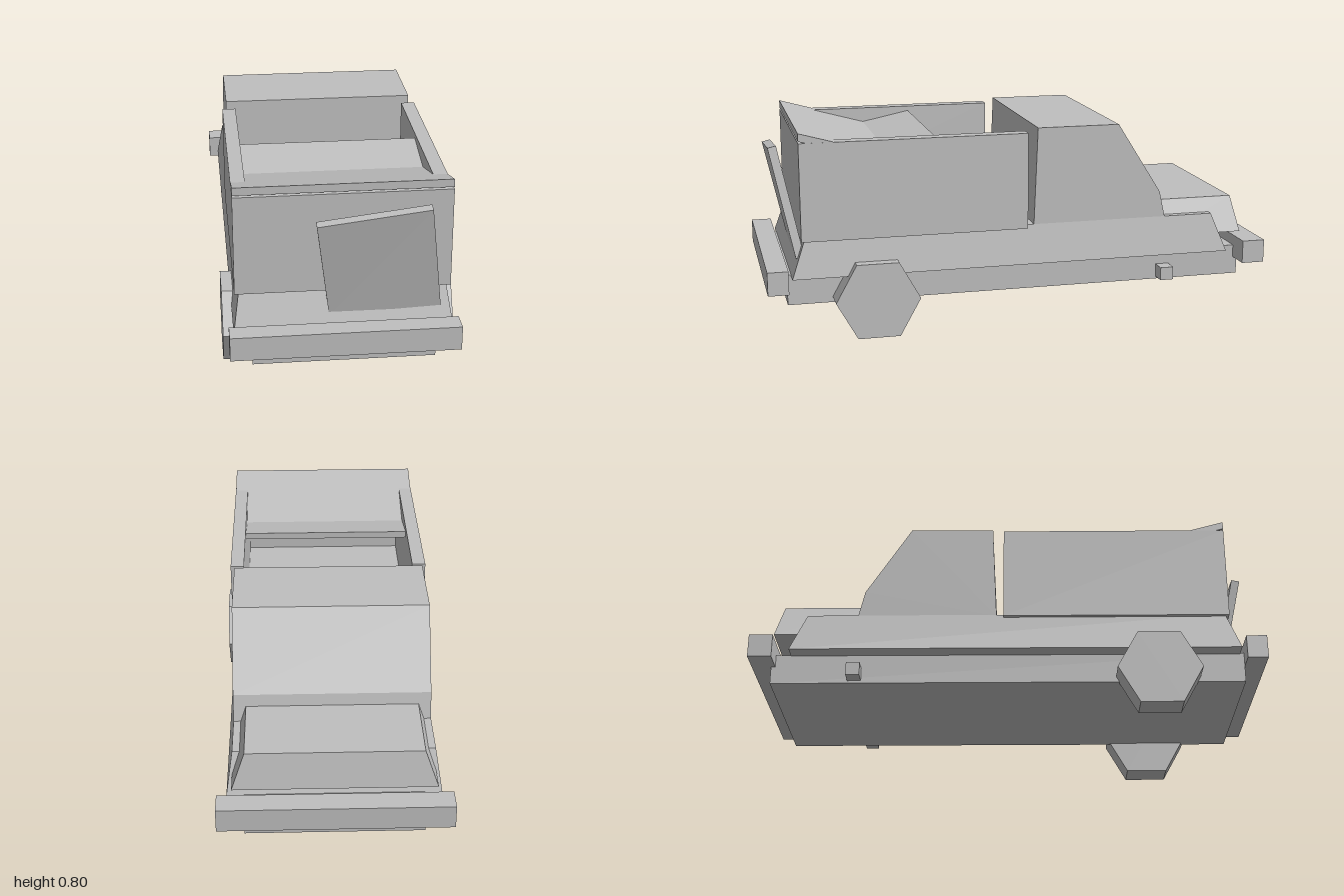
import * as THREE from 'three';

export function createModel() {
  const model = new THREE.Group();
  model.name = 'pickupTruck';
  const grey = new THREE.MeshStandardMaterial({ color: 0xbfbfbf });
  grey.name = 'plain grey';

  const add = (name, geometry, parent = model) => {
    const mesh = new THREE.Mesh(geometry, grey);
    mesh.name = name;
    parent.add(mesh);
    return mesh;
  };

  // Box given by its limits on each axis
  const box = (name, [x0, x1], [y0, y1], [z0, z1], parent) => {
    const g = new THREE.BoxGeometry(x1 - x0, y1 - y0, z1 - z0);
    g.translate((x0 + x1) / 2, (y0 + y1) / 2, (z0 + z1) / 2);
    return add(name, g, parent);
  };

  // Side profile of [z, y] points, extruded across the width
  const profile = (name, points, halfWidth, parent) => {
    const shape = new THREE.Shape(points.map(([z, y]) => new THREE.Vector2(z, y)));
    const g = new THREE.ExtrudeGeometry(shape, { depth: halfWidth * 2, bevelEnabled: false });
    g.rotateY(-Math.PI / 2).translate(halfWidth, 0, 0);
    return add(name, g, parent);
  };

  // Solid between two four-cornered sections, corners anticlockwise seen from the second
  const loft = (name, a, b) => {
    const faces = [[b[0], b[1], b[2], b[3]], [a[3], a[2], a[1], a[0]]];
    for (let i = 0; i < 4; i++) {
      const j = (i + 1) % 4;
      faces.push([a[i], a[j], b[j], b[i]]);
    }
    const pos = faces.flatMap(([p, q, r, s]) => [p, q, r, p, r, s]).flat();
    const g = new THREE.BufferGeometry();
    g.setAttribute('position', new THREE.Float32BufferAttribute(pos, 3));
    g.computeVertexNormals();
    return add(name, g);
  };

  // Level rectangle for lofting upwards
  const rect = (w, y, z0, z1) => [[-w, y, z1], [w, y, z1], [w, y, z0], [-w, y, z0]];

  // Chassis, bumpers and lower body
  box('chassis', [-0.335, 0.335], [0.125, 0.245], [-0.925, 0.92]);
  box('tailBumper', [-0.418, 0.416], [0.19, 0.282], [0.92, 1]);
  box('noseBumper', [-0.436, 0.434], [0.195, 0.287], [-1, -0.908]);
  loft('lowerBody', rect(0.4, 0.242, -0.85, 0.905), rect(0.376, 0.397, -0.787, 0.85));

  // Hood overhanging the nose
  loft('hood', rect(0.378, 0.315, -0.915, -0.57), rect(0.328, 0.455, -0.887, -0.57));

  // Cab with sloping windscreen
  profile('cab', [
    [-0.045, 0.39], [-0.06, 0.78], [-0.388, 0.78], [-0.565, 0.5], [-0.59, 0.39],
  ], 0.376);

  // Open cargo bed
  const bed = new THREE.Group();
  bed.name = 'cargoBed';
  model.add(bed);
  box('bedFloor', [-0.345, 0.345], [0.385, 0.43], [-0.015, 0.83], bed);
  for (const s of [-1, 1]) {
    const c = s * 0.3665;
    box('bedSide', [c - 0.0265, c + 0.0265], [0.385, 0.764], [-0.017, 0.866], bed);
  }
  box('bedEnd', [-0.345, 0.345], [0.385, 0.764], [0.825, 0.866], bed);

  // Folded cover lying over the end of the bed
  profile('bedCover', [
    [0.866, 0.802], [0.52, 0.705], [0.325, 0.745],
    [0.325, 0.718], [0.52, 0.675], [0.866, 0.772],
  ], 0.392, bed);

  // Loose panel leaning against the bed
  const panelFront = [
    [-0.053, 0.293, 0.88], [0.355, 0.313, 0.885], [0.3, 0.735, 0.972], [-0.105, 0.683, 0.965],
  ];
  loft('leaningPanel', panelFront.map(([x, y, z]) => [x, y + 0.007, z - 0.032]), panelFront);

  // Six-sided wheels, and bare stubs at the nose axle
  for (const s of [-1, 1]) {
    const g = new THREE.CylinderGeometry(0.164, 0.164, 0.115, 6).toNonIndexed();
    g.rotateZ(Math.PI / 2).scale(1, 1.035, 1);
    g.computeVertexNormals();
    add('wheel', g).position.set(s * 0.3775, 0.147, 0.583);
    const c = s * 0.36;
    box('axleStub', [c - 0.035, c + 0.035], [0.135, 0.187], [-0.625, -0.572]);
  }
  return model;
}
